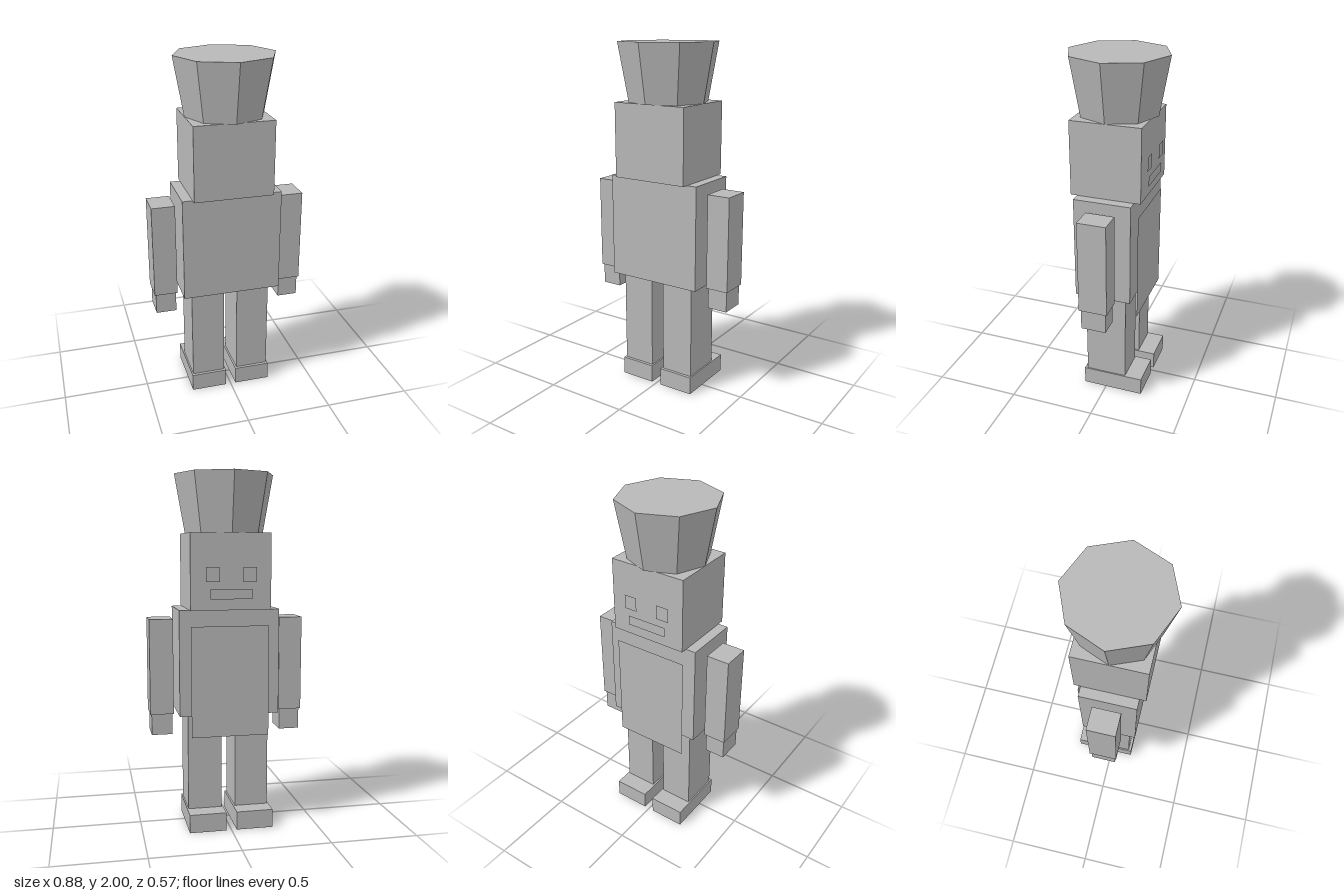
import * as THREE from 'three';

export function createModel() {
  const model = new THREE.Group();
  model.name = 'blockFigure';

  const grey = new THREE.MeshStandardMaterial({ color: 0xb8b8b8, side: THREE.DoubleSide });
  grey.name = 'plain grey';

  function add(name, geometry, x, y, z) {
    const mesh = new THREE.Mesh(geometry, grey);
    mesh.name = name;
    mesh.position.set(x, y, z);
    model.add(mesh);
    return mesh;
  }

  // Leaves out the downward face group, so the part is open underneath
  function openBelow(geometry, groupIndex) {
    const { start, count } = geometry.groups[groupIndex];
    const index = Array.from(geometry.index.array);
    index.splice(start, count);
    geometry.setIndex(index);
    geometry.clearGroups();
    return geometry;
  }

  // Box given by its limits on each axis
  function block(name, [x0, x1], [y0, y1], [z0, z1]) {
    const geometry = openBelow(new THREE.BoxGeometry(x1 - x0, y1 - y0, z1 - z0), 3);
    return add(name, geometry, (x0 + x1) / 2, (y0 + y1) / 2, (z0 + z1) / 2);
  }

  // Flat plate looking towards -z
  function plate(name, width, height, x, y, z) {
    add(name, new THREE.PlaneGeometry(width, height), x, y, z).rotation.y = Math.PI;
  }

  // Head and torso
  block('head', [-0.225, 0.225], [1.255, 1.675], [-0.2, 0.2]);
  block('torso', [-0.283, 0.283], [0.66, 1.255], [-0.163, 0.163]);

  // Flared eight-sided hat
  const hat = openBelow(new THREE.CylinderGeometry(0.283, 0.225, 0.325, 8), 2).toNonIndexed();
  hat.computeVertexNormals();
  add('hat', hat, 0, 1.8375, 0);

  // Apron and mouth
  plate('apron', 0.44, 0.625, 0, 0.853, -0.185);
  plate('mouth', 0.235, 0.055, 0, 1.343, -0.21);

  // Limbs and eyes, mirrored
  for (const [side, s] of [['left', 1], ['right', -1]]) {
    const span = (a, b) => (s > 0 ? [a, b] : [-b, -a]);
    block(side + 'Arm', span(0.307, 0.44), [0.66, 1.2], [-0.082, 0.082]);
    block(side + 'Hand', span(0.315, 0.432), [0.54, 0.66], [-0.072, 0.072]);
    block(side + 'Leg', span(0.04, 0.232), [0.105, 0.66], [-0.12, 0.12]);
    block(side + 'Foot', span(0.03, 0.24), [0, 0.105], [-0.223, 0.137]);
    plate(side + 'Eye', 0.075, 0.08, s * 0.103, 1.45, -0.21);
  }

  return model;
}
